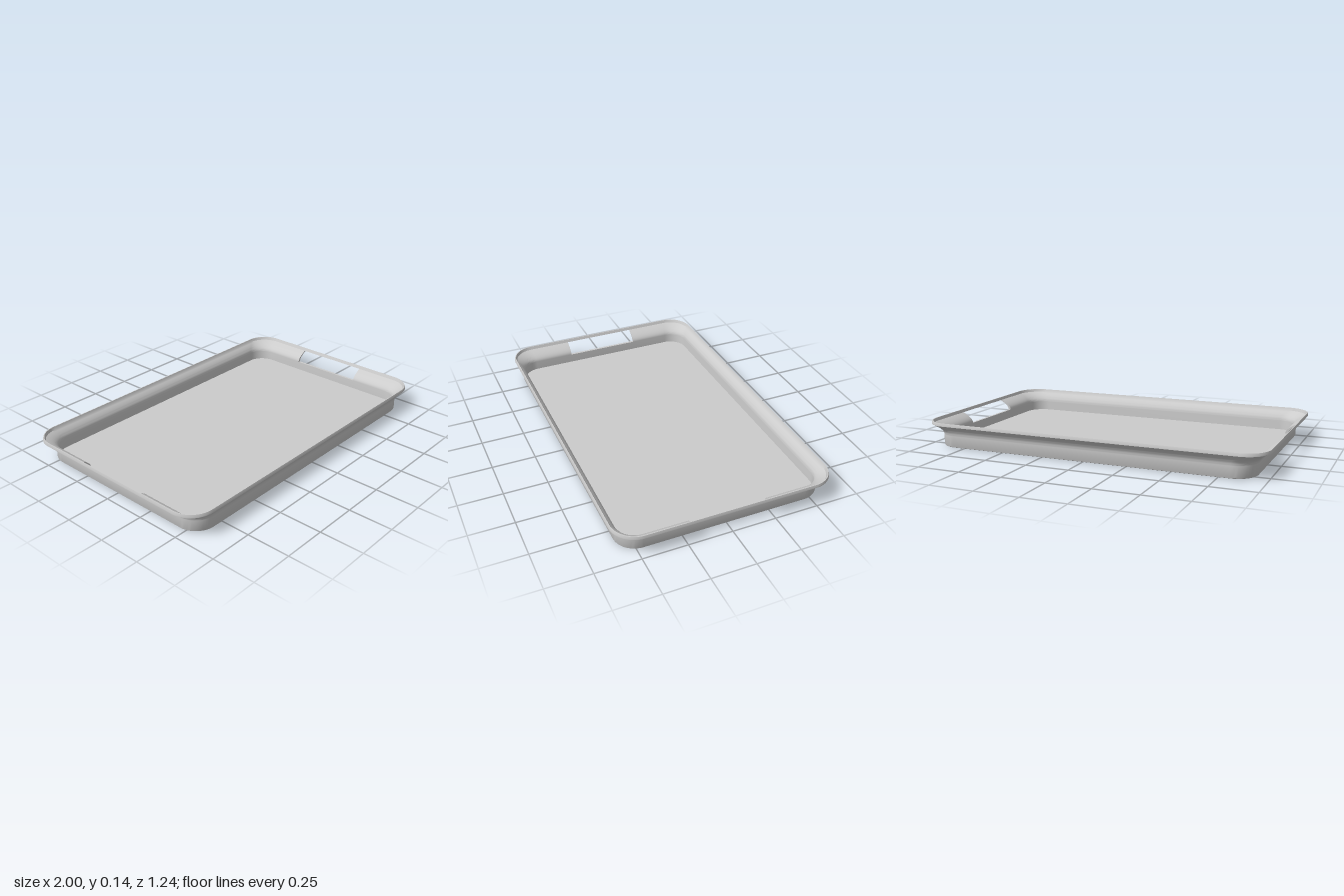
import * as THREE from 'three';
import { toCreasedNormals } from 'three/addons/utils/BufferGeometryUtils.js';

const HANDLE = 0.225;              // half length of the handle openings
const Y0 = 0.067, Y1 = 0.128;      // bottom and top of the flare and openings
const STEPS = 10, ARC = 14;
const material = new THREE.MeshStandardMaterial({ color: 0xcccccc });

// Wall section at step k of the flare: height and half sizes, set in for the inner skin
function flare(k, inset) {
  const t = k / STEPS, f = t * t;
  return { x: 0.933 + 0.067 * f - inset, z: 0.585 + 0.037 * f - inset, r: 0.12 + 0.02 * f - inset, y: Y0 + (Y1 - Y0) * t };
}

// Rounded rectangle with extra points at the ends of the handle openings
function ring({ x, z, r, y }) {
  const s = Math.min(HANDLE, z), half = [[x, -s], [x, s]];
  for (const q of [0, 1]) {
    for (let i = 0; i <= ARC; i++) {
      const a = (q + i / ARC) * Math.PI / 2;
      half.push([(q ? -1 : 1) * (x - r) + r * Math.cos(a), z - r + r * Math.sin(a)]);
    }
  }
  return [...half, ...half.map(([px, pz]) => [-px, -pz])].map(([px, pz]) => new THREE.Vector3(px, y, pz));
}

function meshFrom(points, name) {
  const geometry = toCreasedNormals(new THREE.BufferGeometry().setFromPoints(points), 0.6);
  const mesh = new THREE.Mesh(geometry, material);
  mesh.name = name;
  return mesh;
}

export function createModel() {
  const tray = new THREE.Group();
  tray.name = 'tray';

  const outer = [], inner = [];
  for (let k = 0; k <= STEPS; k++) {
    outer.push(flare(k, 0));
    inner.push(flare(k, 0.015));
  }

  // Section from the underside, up the outside, over the lip and down to the floor
  const sections = [
    { x: 0, z: 0, r: 0, y: 0 },
    { x: 0.923, z: 0.575, r: 0.11, y: 0 },
    { x: 0.930, z: 0.582, r: 0.117, y: 0.003 },
    { x: 0.933, z: 0.585, r: 0.12, y: 0.01 },
    ...outer,
    { x: 1, z: 0.622, r: 0.14, y: 0.133 },
    { x: 0.997, z: 0.618, r: 0.137, y: 0.145 },
    { x: 0.992, z: 0.613, r: 0.132, y: 0.145 },
    ...[...inner].reverse(),
    { x: 0.918, z: 0.568, r: 0.105, y: 0.013 },
    { x: 0, z: 0, r: 0, y: 0.013 },
  ];

  // Shell, leaving out the handle openings in the two end walls
  const rings = sections.map(ring), n = rings[0].length, shell = [];
  for (let j = 0; j < rings.length - 1; j++) {
    const inFlare = [j, j + 1].every(m => sections[m].y > Y0 - 1e-6 && sections[m].y < Y1 + 1e-6);
    for (let i = 0; i < n; i++) {
      if (inFlare && i % (n / 2) === 0) continue;
      const i2 = (i + 1) % n;
      const a = rings[j][i], b = rings[j + 1][i], c = rings[j][i2], d = rings[j + 1][i2];
      if (sections[j].x > 0) shell.push(a, b, c);
      if (sections[j + 1].x > 0) shell.push(c, b, d);
    }
  }
  tray.add(meshFrom(shell, 'trayShell'));

  // Cut edges lining each handle opening
  for (const [side, name] of [[1, 'leftHandleEdge'], [-1, 'rightHandleEdge']]) {
    const loop = rows => [
      ...rows.map(p => new THREE.Vector3(side * p.x, p.y, -side * HANDLE)),
      ...[...rows].reverse().map(p => new THREE.Vector3(side * p.x, p.y, side * HANDLE)),
    ];
    const out = loop(outer), inn = loop(inner), edge = [];
    out.forEach((a, i) => {
      const k = (i + 1) % out.length;
      edge.push(a, out[k], inn[i], inn[i], out[k], inn[k]);
    });
    tray.add(meshFrom(edge, name));
  }
  return tray;
}
